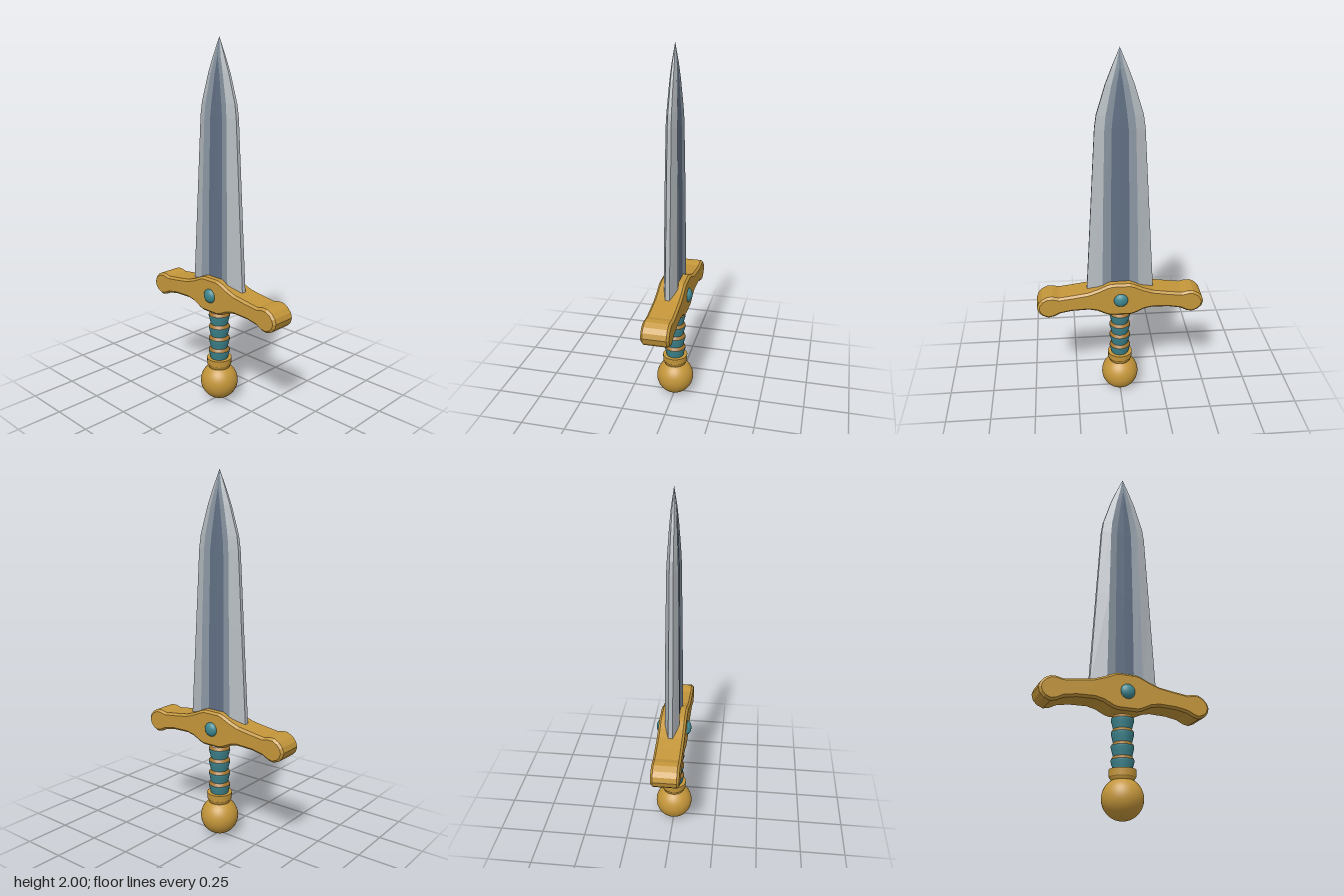
import * as THREE from 'three';

const mat = (name, color) => {
  const m = new THREE.MeshStandardMaterial({ color });
  m.name = name;
  return m;
};

export function createModel() {
  const gold = mat('gold', 0xc4963a);
  const teal = mat('teal', 0x3f8790);
  const brown = mat('bronze binding', 0xa3742c);
  const steel = mat('light steel', 0xb6bcc1);
  const bevel = mat('mid steel', 0x8a96a2);
  const dark = mat('dark steel', 0x617084);

  const sword = new THREE.Group();
  sword.name = 'sword';
  const add = (name, geometry, material, x = 0, y = 0, z = 0) => {
    const mesh = new THREE.Mesh(geometry, material);
    mesh.name = name;
    mesh.position.set(x, y, z);
    sword.add(mesh);
    return mesh;
  };
  const lathe = (points, sides = 24) =>
    new THREE.LatheGeometry(points.map(([r, y]) => new THREE.Vector2(r, y)), sides);

  // Blade rings: y, edge x, ridge x, fuller x, edge z, ridge z, fuller z, centre z
  const rings = [
    [0.67, 0.185, 0.1, 0.052, 0.012, 0.04, 0.031, 0.033],
    [1.2, 0.153, 0.09, 0.048, 0.011, 0.036, 0.028, 0.03],
    [1.6, 0.129, 0.08, 0.043, 0.01, 0.03, 0.024, 0.026],
    [1.67, 0.119, 0.073, 0.036, 0.009, 0.027, 0.022, 0.024],
    [1.82, 0.073, 0.043, 0.016, 0.007, 0.019, 0.017, 0.018],
    [1.9, 0.042, 0.022, 0.002, 0.005, 0.013, 0.013, 0.013],
    [2.0, 0, 0, 0, 0, 0, 0, 0],
  ].map(([y, w, r, f, ez, rz, fz, cz]) => {
    const front = [[-w, ez], [-r, rz], [-f, fz], [0, cz], [f, fz], [r, rz], [w, ez]];
    return [...front, ...front.map(([x, z]) => [-x, -z])].map(([x, z]) => [x, y, z]);
  });
  // One mesh per steel tone, each covering its own lengthwise strips
  const strips = (columns) => {
    const v = [];
    for (let k = 0; k < rings.length - 1; k++) {
      for (const c of [...columns, ...columns.map((i) => i + 7)]) {
        const n = (c + 1) % 14;
        const a = rings[k][c], b = rings[k][n], d = rings[k + 1][n], e = rings[k + 1][c];
        v.push(...a, ...b, ...d);
        if (k < rings.length - 2) v.push(...a, ...d, ...e);
      }
    }
    const g = new THREE.BufferGeometry();
    g.setAttribute('position', new THREE.Float32BufferAttribute(v, 3));
    g.computeVertexNormals();
    return g;
  };
  add('bladeEdges', strips([0, 5, 6]), steel);
  add('bladeRidges', strips([1, 4]), bevel);
  add('bladeFuller', strips([2, 3]), dark);

  // Crossguard: mirrored outline, extruded with a chamfer
  const half = [
    [0.05, 0.733], [0.075, 0.726], [0.125, 0.703], [0.18, 0.684], [0.26, 0.672], [0.34, 0.662],
    [0.375, 0.67], [0.405, 0.669], [0.435, 0.653], [0.455, 0.63], [0.464, 0.603], [0.455, 0.573],
    [0.435, 0.552], [0.402, 0.538], [0.37, 0.545], [0.335, 0.563], [0.27, 0.575], [0.175, 0.578],
    [0.13, 0.568], [0.08, 0.543], [0.055, 0.536],
  ];
  const outline = [...half, ...half.map(([x, y]) => [-x, y]).reverse()];
  const guard = new THREE.ExtrudeGeometry(
    new THREE.Shape(outline.map(([x, y]) => new THREE.Vector2(x, y))),
    { depth: 0.126, bevelEnabled: true, bevelSize: 0.012, bevelThickness: 0.012, bevelOffset: -0.012, bevelSegments: 1 },
  );
  add('crossguard', guard, gold, 0, 0, -0.063);

  // Gems on both faces of the guard
  for (const side of [1, -1]) {
    const gem = add(side > 0 ? 'frontGem' : 'backGem', new THREE.SphereGeometry(0.04, 16, 12), teal, 0, 0.635, side * 0.072);
    gem.scale.z = 0.65;
  }

  // Grip: flared wraps, each topped by a binding that tapers in
  const step = 0.0705;
  for (let i = 0; i < 4; i++) {
    const y = 0.243 + i * step;
    add('gripWrap' + (i + 1), lathe([[0.048, 0], [0.053, 0.022], [0.059, 0.044], [0.059, 0.054]]), teal, 0, y);
    add('gripBinding' + (i + 1), lathe([[0.059, 0.054], [0.055, 0.062], [0.048, step]]), brown, 0, y);
  }

  // Collar and pommel
  add('collar', lathe([[0, 0.185], [0.06, 0.185], [0.06, 0.204], [0.068, 0.212]]), gold);
  add('collarRim', new THREE.CylinderGeometry(0.07, 0.068, 0.036, 24), gold, 0, 0.23);
  add('pommel', new THREE.SphereGeometry(0.105, 32, 24), gold, 0, 0.107);

  return sword;
}
